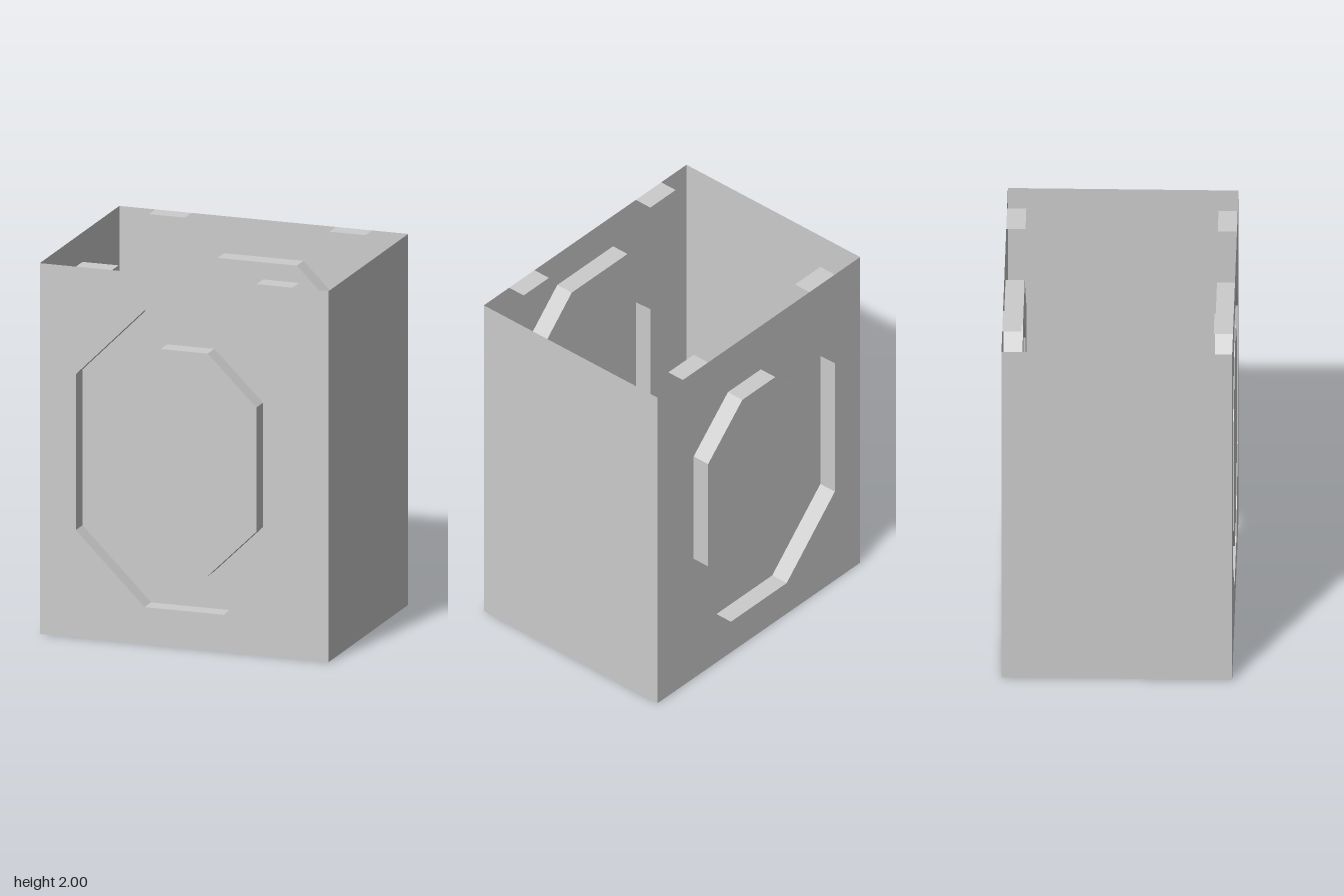
import * as THREE from 'three';

const W = 0.8, H = 2, FRONT = 0.6, GROOVE = 0.5;

// Octagon corners, counter-clockwise: half width/height and flat half-lengths
function octagon(w, h, fx, fy) {
  return [[fx, -h], [w, -fy], [w, fy], [fx, h], [-fx, h], [-w, fy], [-w, -fy], [-fx, -h]]
    .map(([x, y]) => new THREE.Vector2(x, y + H / 2));
}

// Flat sheet at depth z, with an optional hole
function sheet(points, z, hole) {
  const shape = new THREE.Shape(points);
  if (hole) shape.holes.push(new THREE.Path(hole));
  return new THREE.ShapeGeometry(shape).translate(0, 0, z);
}

// Step joining the front plane to the groove floor along an outline
function band(points, inward) {
  const pos = [];
  points.forEach((p, i) => {
    const q = points[(i + 1) % points.length];
    const [a, b] = inward ? [q, p] : [p, q];
    pos.push(a.x, a.y, FRONT, a.x, a.y, GROOVE, b.x, b.y, GROOVE,
      a.x, a.y, FRONT, b.x, b.y, GROOVE, b.x, b.y, FRONT);
  });
  const geo = new THREE.BufferGeometry();
  geo.setAttribute('position', new THREE.Float32BufferAttribute(pos, 3));
  geo.computeVertexNormals();
  return geo;
}

export function createModel() {
  const grey = new THREE.MeshStandardMaterial({ color: 0xcccccc, side: THREE.DoubleSide });
  grey.name = 'light grey';
  const model = new THREE.Group();
  model.name = 'openCase';

  const outer = octagon(0.6, 0.8, 0.22, 0.42);
  const inner = octagon(0.4, 0.6, 0.13, 0.335);
  const rect = [[-W, 0], [W, 0], [W, H], [-W, H]].map(([x, y]) => new THREE.Vector2(x, y));

  // The same half is used for front and back, turned about the vertical axis
  for (const [side, turn] of [['front', 0], ['back', Math.PI]]) {
    const half = new THREE.Group();
    half.name = side + 'Half';
    half.rotation.y = turn;
    const add = (name, geo) => {
      const mesh = new THREE.Mesh(geo, grey);
      mesh.name = name;
      half.add(mesh);
    };

    // Panel with a sunken octagonal ring around a raised centre
    add('panel', sheet(rect, FRONT, outer));
    add('grooveOuterStep', band(outer, true));
    add('grooveFloor', sheet(outer, GROOVE, inner));
    add('grooveInnerStep', band(inner, false));
    add('centrePlate', sheet(inner, FRONT));

    // Flat tabs along the top and bottom rims
    for (const x of [-0.5, 0.5]) {
      for (const [name, y, tilt] of [['topTab', H, -1], ['bottomTab', 0, 1]]) {
        add(name, new THREE.PlaneGeometry(0.2, FRONT - GROOVE)
          .rotateX(tilt * Math.PI / 2).translate(x, y, (FRONT + GROOVE) / 2));
      }
    }

    // Plain side wall
    add('sideWall', new THREE.PlaneGeometry(2 * FRONT, H)
      .rotateY(Math.PI / 2).translate(W, H / 2, 0));
    model.add(half);
  }
  return model;
}
